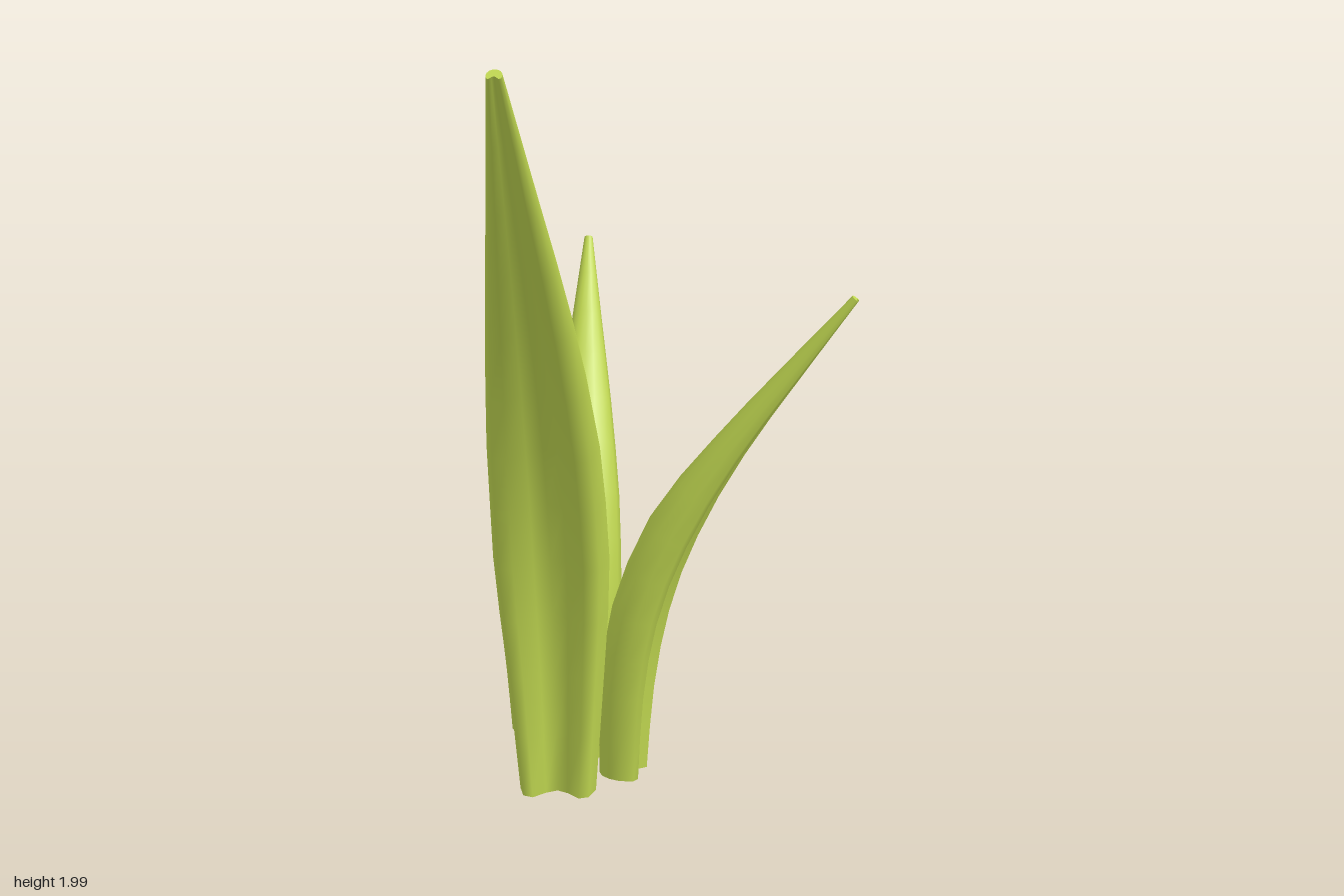
import * as THREE from 'three';

// Spine stations of one leaf: outward lean, height, half width, half thickness
const STATIONS = [
  [0.00, 0.00, 0.105, 0.090],
  [0.015, 0.36, 0.133, 0.100],
  [0.07, 0.70, 0.155, 0.105],
  [0.20, 1.04, 0.145, 0.098],
  [0.42, 1.38, 0.108, 0.066],
  [0.66, 1.69, 0.062, 0.040],
  [0.90, 1.99, 0.018, 0.015],
];

// Half of the cross-section: grooved on the outer side, rounded on the inner side
const HALF = [[0.28, 0.6], [0.6, 0.97], [0.86, 0.85], [1, 0.3], [0.92, -0.25], [0.7, -0.68], [0.38, -0.92]];
const SECTION = [[0, 0.42], ...HALF, [0, -1], ...HALF.map(([x, z]) => [-x, z]).reverse()];

function leafGeometry() {
  const spine = new THREE.CatmullRomCurve3(STATIONS.map(([u, y]) => new THREE.Vector3(0, y, u)));
  const size = new THREE.CatmullRomCurve3(STATIONS.map(([, , w, t]) => new THREE.Vector3(w, t, 0)));
  const rows = 12, n = SECTION.length, pos = [], idx = [];

  const ring = (t) => {
    const c = spine.getPoint(t), s = size.getPoint(t), d = spine.getTangent(t);
    if (t === 0) d.set(0, 1, 0);
    for (const [x, z] of SECTION) {
      pos.push(x * s.x, c.y - z * s.y * d.z, c.z + z * s.y * d.y);
    }
    return c;
  };

  // Side skin
  for (let r = 0; r <= rows; r++) ring(r / rows);
  for (let r = 0; r < rows; r++) {
    for (let i = 0; i < n; i++) {
      const a = r * n + i, b = r * n + (i + 1) % n;
      idx.push(a, b, b + n, a, b + n, a + n);
    }
  }
  // End caps with their own vertices, so the rims stay sharp
  for (const t of [0, 1]) {
    const start = pos.length / 3, c = ring(t);
    pos.push(c.x, c.y, c.z);
    for (let i = 0; i < n; i++) {
      const a = start + i, b = start + (i + 1) % n;
      idx.push(start + n, t ? a : b, t ? b : a);
    }
  }
  const g = new THREE.BufferGeometry();
  g.setAttribute('position', new THREE.Float32BufferAttribute(pos, 3));
  g.setIndex(idx);
  g.computeVertexNormals();
  return g;
}

// Each leaf: name, base centre, tip centre
const LEAVES = [
  ['tallFrontLeaf', [-0.30, 0.005, -0.07], [-0.455, 1.99, 0.825]],
  ['leftLeaf', [-0.12, 0.01, -0.14], [0.472, 1.385, 0.095]],
  ['backLeaf', [-0.22, 0.035, -0.235], [-0.155, 1.432, -0.83]],
  ['smallBackLeaf', [-0.365, 0.04, -0.41], [-0.46, 1.07, -0.785]],
];

export function createModel() {
  const group = new THREE.Group();
  group.name = 'leafCluster';
  const geometry = leafGeometry();
  const material = new THREE.MeshStandardMaterial({ color: 0xbfd650 });
  const [reach0, height0] = STATIONS[STATIONS.length - 1];

  // Turn, tilt and scale the same leaf so it runs from base to tip
  for (const [name, base, tip] of LEAVES) {
    const [dx, dy, dz] = tip.map((v, i) => v - base[i]);
    const reach = Math.hypot(dx, dz);
    const leaf = new THREE.Mesh(geometry, material);
    leaf.name = name;
    leaf.position.set(...base);
    leaf.rotation.set(Math.atan2(reach, dy) - Math.atan2(reach0, height0), Math.atan2(dx, dz), 0, 'YXZ');
    leaf.scale.setScalar(Math.hypot(reach, dy) / Math.hypot(reach0, height0));
    group.add(leaf);
  }
  return group;
}
